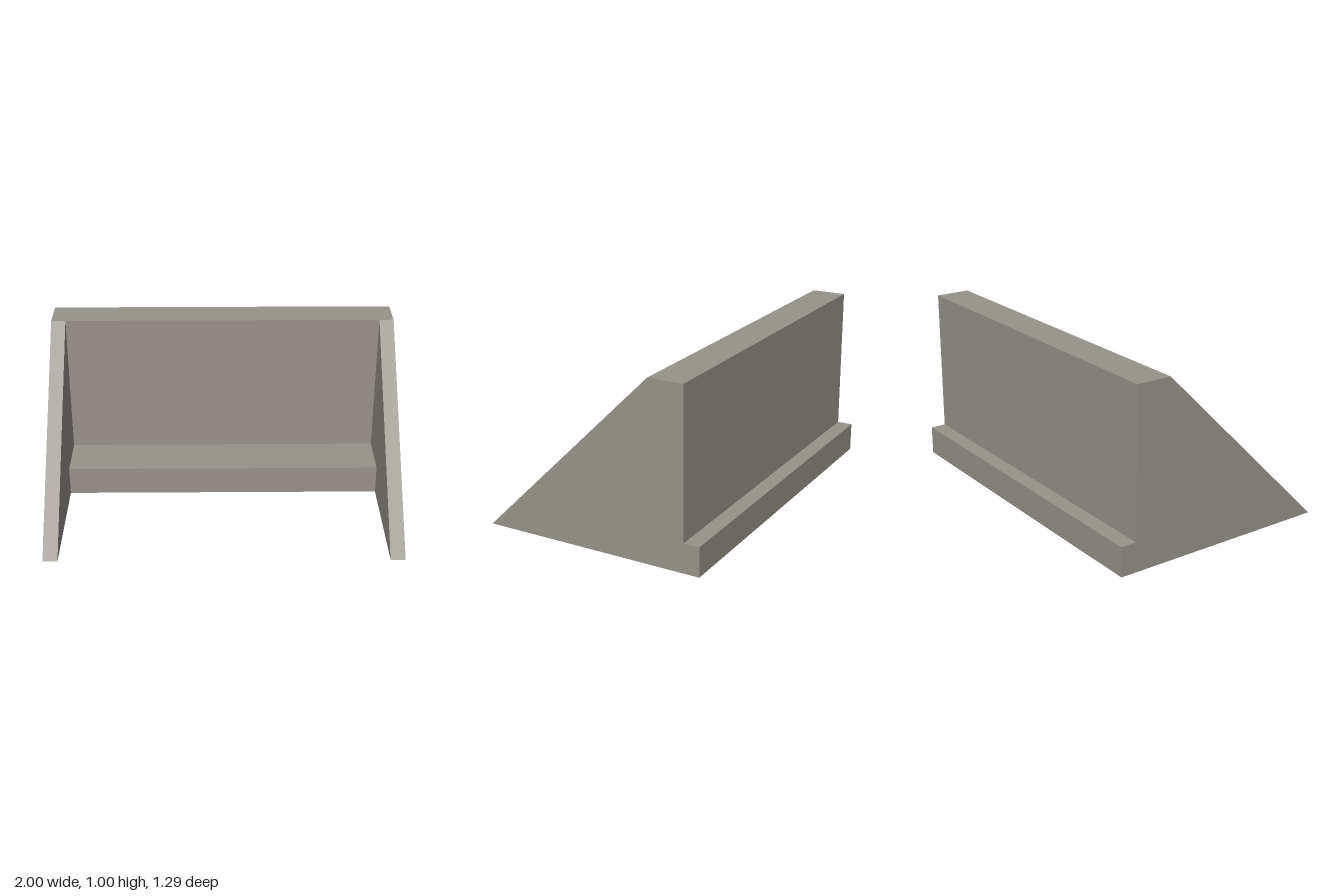
import * as THREE from 'three';

// Extrudes a side profile of [z, y] points across x, centred on centreX
function profileMesh(name, points, width, centreX, material) {
  const shape = new THREE.Shape(points.map(([z, y]) => new THREE.Vector2(z, y)));
  const geometry = new THREE.ExtrudeGeometry(shape, { depth: width, bevelEnabled: false });
  geometry.translate(0, 0, -width / 2);
  geometry.rotateY(-Math.PI / 2);
  const mesh = new THREE.Mesh(geometry, material);
  mesh.name = name;
  mesh.position.x = centreX;
  return mesh;
}

export function createModel() {
  const group = new THREE.Group();
  group.name = 'buttressedBarrier';
  const concrete = new THREE.MeshStandardMaterial({ color: 0x97938a });
  concrete.name = 'concrete';

  const back = -0.645, wallBack = -0.555, wallFront = -0.355;
  const baseFront = -0.065, toe = 0.645;
  const baseTop = 0.167, top = 1, braceWidth = 0.083;

  // Upright wall rising from a wider base slab
  group.add(profileMesh('wallAndBase', [
    [back, 0], [baseFront, 0], [baseFront, baseTop], [wallFront, baseTop],
    [wallFront, top], [wallBack, top], [wallBack, baseTop], [back, baseTop],
  ], 2, 0, concrete));

  // Sloping brace at each end, seated over the base and against the wall
  for (const side of [-1, 1]) {
    group.add(profileMesh(side > 0 ? 'leftBrace' : 'rightBrace', [
      [baseFront, 0], [toe, 0], [wallFront, top], [wallFront, baseTop], [baseFront, baseTop],
    ], braceWidth, side * (1 - braceWidth / 2), concrete));
  }
  return group;
}
